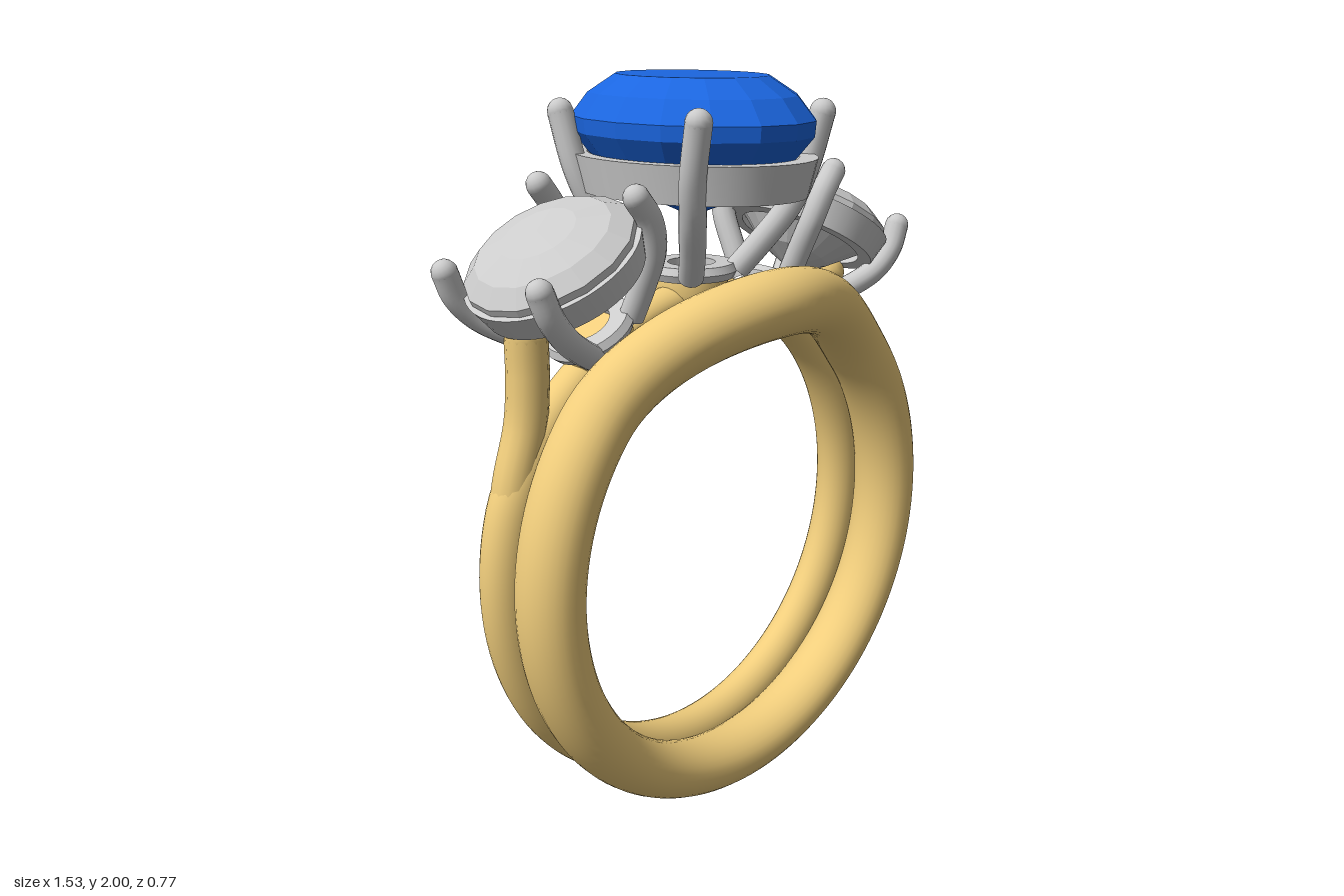
import * as THREE from 'three';
import { toCreasedNormals } from 'three/addons/utils/BufferGeometryUtils.js';

const gold = new THREE.MeshStandardMaterial({ color: 0xf0cd7c });
const metal = new THREE.MeshStandardMaterial({ color: 0xcccccc });
const clearStone = new THREE.MeshStandardMaterial({ color: 0xcccccc, flatShading: true });
const blueStone = new THREE.MeshStandardMaterial({ color: 0x1b66e0, flatShading: true });

const CENTER_Y = 0.757; // centre of the finger hole
const smooth = THREE.MathUtils.smoothstep;

function add(parent, name, geometry, material) {
  const mesh = new THREE.Mesh(geometry, material);
  mesh.name = name;
  parent.add(mesh);
  return mesh;
}

// Closed band with an elliptical section; section(angle from top) gives
// mid radius r, z offset and the half sizes a (radial) and b (along z)
function bandGeometry(section, around = 128, sides = 28) {
  const pos = [], index = [];
  for (let i = 0; i < around; i++) {
    const t = (i / around) * Math.PI * 2;
    const { r, z, a, b } = section(t > Math.PI ? Math.PI * 2 - t : t);
    for (let j = 0; j < sides; j++) {
      const p = (j / sides) * Math.PI * 2;
      const rad = r + a * Math.cos(p);
      pos.push(rad * Math.sin(t), rad * Math.cos(t), z + b * Math.sin(p));
      const i2 = (i + 1) % around, j2 = (j + 1) % sides;
      const A = i * sides + j, B = i * sides + j2, C = i2 * sides + j, D = i2 * sides + j2;
      index.push(A, B, C, B, D, C);
    }
  }
  const g = new THREE.BufferGeometry();
  g.setAttribute('position', new THREE.Float32BufferAttribute(pos, 3));
  g.setIndex(index);
  g.computeVertexNormals();
  return g;
}

// Turned part, optionally stretched along z into an oval
function turned(points, segments, stretch = 1, crease = 0.6) {
  const g = new THREE.LatheGeometry(points.map(p => new THREE.Vector2(...p)), segments);
  g.scale(1, 1, stretch);
  return toCreasedNormals(g, crease);
}

// Round wire with a ball at its end
function wire(parent, name, points, radius, material) {
  const pts = points.map(p => new THREE.Vector3(...p));
  const group = new THREE.Group();
  group.name = name;
  parent.add(group);
  const curve = new THREE.CatmullRomCurve3(pts);
  add(group, name + 'Wire', new THREE.TubeGeometry(curve, 24, radius, 14), material);
  add(group, name + 'Tip', new THREE.SphereGeometry(radius, 14, 10), material)
    .position.copy(pts[pts.length - 1]);
}

// Stone setting; heights are distances from the finger hole centre
function setting(name, o) {
  const head = new THREE.Group();
  head.name = name;
  add(head, 'stone', turned(o.stone, 16, o.stretch, 0.01), o.material);

  // Tapered collar under the stone
  const { r, lo, hi } = o.collar;
  add(head, 'collar', turned([
    [r - 0.06, lo], [r - 0.02, lo], [r, hi], [r - 0.04, hi], [r - 0.06, lo],
  ], 48, o.stretch), metal);

  // Flat base ring on a gold cup
  add(head, 'baseRing', turned([
    [0.065, 0.71], [0.115, 0.71], [0.125, 0.73], [0.115, 0.75], [0.065, 0.75], [0.065, 0.71],
  ], 32), metal);
  add(head, 'cup', turned([
    [0, 0.608], [0.07, 0.608], [0.092, 0.64], [0.102, 0.675], [0.098, 0.71], [0.08, 0.73], [0, 0.73],
  ], 32), gold);

  // Four claws
  for (const sx of [1, -1]) for (const sz of [1, -1])
    wire(head, 'prong', o.prong.map(([x, y, z]) => [x * sx, y, z * sz]), o.wire, metal);
  return head;
}

export function createModel() {
  const model = new THREE.Group();
  model.name = 'ringSet';
  const rings = new THREE.Group();
  rings.name = 'rings';
  rings.position.y = CENTER_Y;
  model.add(rings);

  // Front band, bowed forward at the top
  add(rings, 'frontBand', bandGeometry(t => ({
    r: 0.68,
    z: 0.155 + 0.135 * (1 - smooth(t, 0, 0.88)) - 0.01 * smooth(t, 1.6, 3.14),
    a: 0.083 + 0.006 * Math.cos(t),
    b: 0.095,
  })), gold);

  const back = new THREE.Group();
  back.name = 'stoneRing';
  back.position.z = -0.02;
  rings.add(back);

  // Back band, thinner beneath the stones
  add(back, 'backBand', bandGeometry(t => {
    const k = smooth(t, 0.6, 1.3);
    return { r: 0.655 + 0.02 * k, z: 0, a: 0.045 + 0.027 * k, b: 0.055 + 0.01 * k };
  }), gold);

  // Shoulders rising from the band to the side stones
  for (const s of [1, -1])
    wire(back, 'shoulder', [
      [0.672 * s, 0.08, 0], [0.64 * s, 0.27, 0], [0.595 * s, 0.42, 0],
      [0.583 * s, 0.54, 0], [0.583 * s, 0.64, 0],
    ], 0.055, gold);

  // Oval centre stone
  back.add(setting('centerSetting', {
    stone: [[0, 0.873], [0.13, 0.935], [0.235, 1.04], [0.272, 1.095], [0.275, 1.135],
      [0.235, 1.195], [0.172, 1.243], [0, 1.243]],
    stretch: 1.33, material: blueStone,
    collar: { r: 0.278, lo: 0.94, hi: 1.04 },
    prong: [[0.09, 0.73, 0.085], [0.13, 0.8, 0.13], [0.185, 0.9, 0.185],
      [0.218, 1.0, 0.215], [0.235, 1.147, 0.252]],
    wire: 0.035,
  }));

  // Round side stones, tilted outward
  for (const s of [1, -1]) {
    const side = setting(s > 0 ? 'leftSetting' : 'rightSetting', {
      stone: [[0, 0.79], [0.1, 0.835], [0.185, 0.91], [0.225, 0.962], [0.225, 0.98],
        [0.18, 1.015], [0.1, 1.038], [0, 1.045]],
      stretch: 1.03, material: clearStone,
      collar: { r: 0.236, lo: 0.885, hi: 0.96 },
      prong: [[0.08, 0.72, 0.08], [0.125, 0.79, 0.12], [0.172, 0.88, 0.165],
        [0.188, 0.96, 0.18], [0.18, 1.03, 0.18]],
      wire: 0.034,
    });
    side.rotation.z = -s * THREE.MathUtils.degToRad(31);
    back.add(side);
  }
  return model;
}
